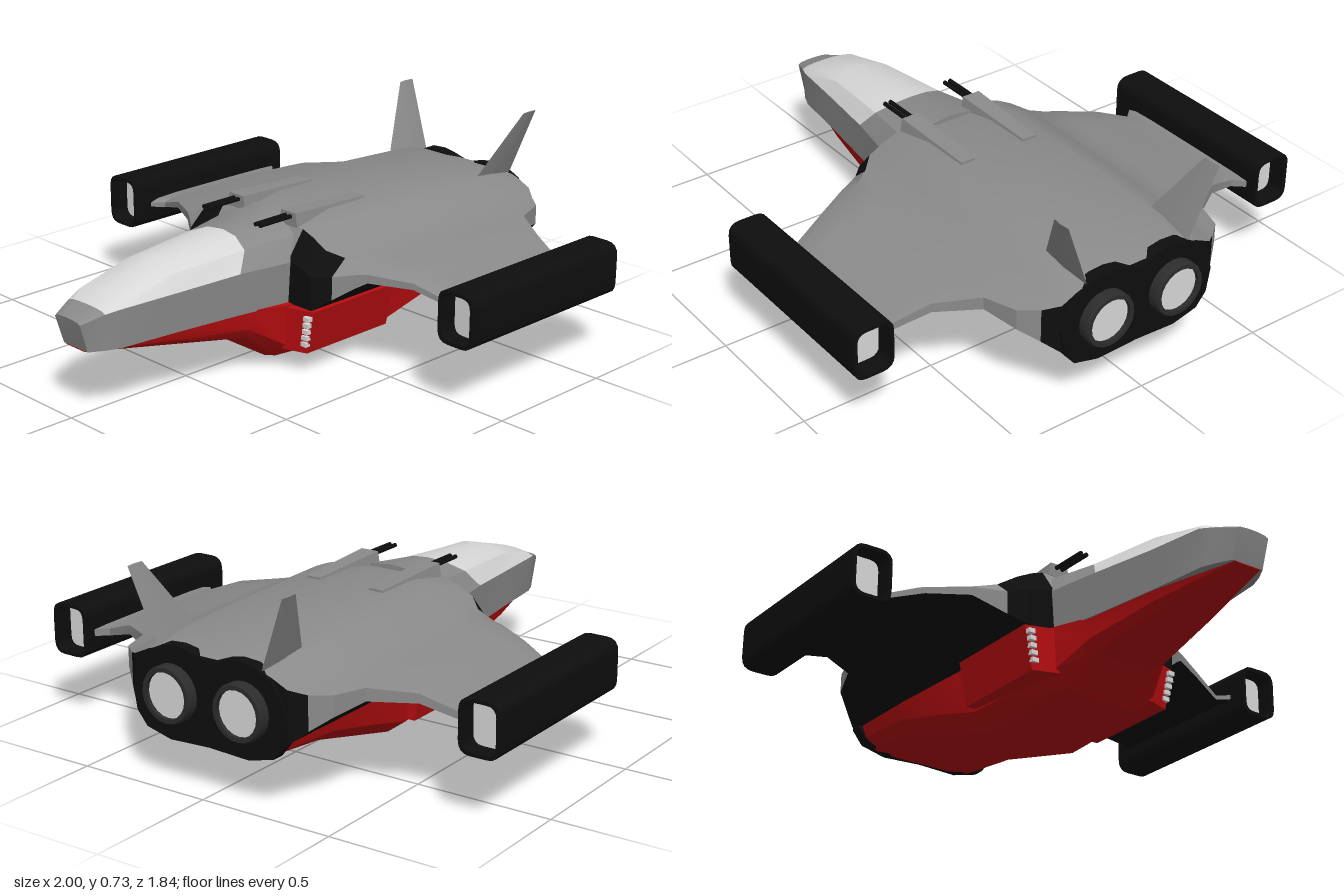
import * as THREE from 'three';
import { toCreasedNormals } from 'three/addons/utils/BufferGeometryUtils.js';

const mat = (name, color) => {
  const m = new THREE.MeshStandardMaterial({ color });
  m.name = name;
  return m;
};
const lerp = THREE.MathUtils.lerp;

export function createModel() {
  const grey = mat('hull grey', 0x8a8a8a);
  const red = mat('belly red', 0xb60d10);
  const black = mat('matte black', 0x0e0e0e);
  const pale = mat('pale grey', 0xd8d8d8);
  const dark = mat('engine grey', 0x2c2c2c);
  const ship = new THREE.Group();
  ship.name = 'spacecraft';

  const add = (name, geo, material, parent = ship) => {
    const mesh = new THREE.Mesh(geo, material);
    mesh.name = name;
    parent.add(mesh);
    return mesh;
  };

  // Skin closed rings of [x,y,z]; pick(station, edge) chooses the material, edge -1 is an end cap
  const loft = (name, rings, pick, crease = 0.5) => {
    const tris = [];
    const n = rings[0].length;
    const tri = (m, ...p) => tris.push({ m, p: p.map(q => new THREE.Vector3(...q)) });
    for (let i = 0; i < rings.length - 1; i++) {
      for (let j = 0; j < n; j++) {
        const k = (j + 1) % n, m = pick(i, j);
        tri(m, rings[i][j], rings[i][k], rings[i + 1][k]);
        tri(m, rings[i][j], rings[i + 1][k], rings[i + 1][j]);
      }
    }
    [0, rings.length - 1].forEach((i, end) => {
      const r = rings[i];
      const c = [0, 1, 2].map(a => r.reduce((s, p) => s + p[a], 0) / n);
      for (let j = 0; j < n; j++) {
        const a = r[j], b = r[(j + 1) % n];
        if (end) tri(pick(i - 1, -1), c, a, b); else tri(pick(i, -1), c, b, a);
      }
    });
    // Turn all faces outward if the enclosed volume is negative
    const volume = tris.reduce((s, { p }) => s + p[0].dot(p[1].clone().cross(p[2])), 0);
    const byMaterial = new Map();
    for (const { m, p } of tris) {
      if (volume < 0) p.reverse();
      if (!byMaterial.has(m)) byMaterial.set(m, []);
      byMaterial.get(m).push(...p);
    }
    const group = new THREE.Group();
    group.name = name;
    for (const [m, pts] of byMaterial) {
      const g = new THREE.BufferGeometry().setFromPoints(pts);
      add(`${name} ${m.name}`, toCreasedNormals(g, crease), m, group);
    }
    ship.add(group);
  };
  const mirrorRing = half => [...half, ...half.filter(p => p[2] > 0).reverse().map(([x, y, z]) => [x, y, -z])];

  // Wing body: stations z, front x, rear x, top y, bottom y
  const span = [
    [0, -0.2, 0.95, 0.53, 0.25], [0.2, -0.2, 0.95, 0.53, 0.25], [0.25, -0.2, 0.95, 0.51, 0.25],
    [0.31, -0.2, 0.95, 0.475, 0.25], [0.36, -0.15, 0.91, 0.442, 0.29], [0.42, -0.105, 0.86, 0.427, 0.335],
    [0.46, -0.08, 0.74, 0.417, 0.36], [0.6, -0.005, 0.65, 0.397, 0.355], [0.73, 0.04, 0.61, 0.347, 0.315],
    [0.775, 0, 0.65, 0.345, 0.315],
  ];
  const both = [...span.slice(1).reverse().map(([z, ...r]) => [-z, ...r]), ...span];
  const camber = [[0, 0.55], [0.06, 0.9], [0.2, 1], [0.6, 0.97], [0.9, 0.9], [1, 0.8]];
  const wingRings = both.map(([z, xf, xr, top, bot]) => [
    [xf, bot, z], ...camber.map(([t, h]) => [lerp(xf, xr, t), lerp(bot, top, h), z]), [xr, bot, z],
  ]);
  loft('wing body', wingRings, (i, j) => {
    const z = i < 0 || j < 0 ? 1 : Math.abs(both[i][0] + both[i + 1][0]) / 2;
    if (j === 7) return black;
    return z < 0.35 && (j === 0 || j === 6 || (j === 1 && z > 0.2)) ? black : grey;
  });

  // Nose: x, half width, shoulder y, top y, shear of the upper part
  const nose = [
    [-1, 0.065, 0.35, 0.36, 0], [-0.92, 0.095, 0.375, 0.387, 0], [-0.87, 0.115, 0.385, 0.415, 0],
    [-0.65, 0.14, 0.39, 0.48, 0], [-0.4, 0.175, 0.4, 0.498, 0.08], [-0.2, 0.21, 0.4, 0.52, 0.05],
    [-0.08, 0.23, 0.4, 0.53, 0],
  ];
  loft('nose', nose.map(([x, w, ys, top, shear], i) => mirrorRing([
    [i ? x : x + 0.03, 0.248, w * 0.95],
    ...[[1, 0], [0.8, 0.65], [0.4, 0.93], [0, 1]].map(([a, h]) => [x + shear * h, lerp(ys, top, h), w * a]),
  ])), (i, j) => (j >= 1 && j <= 6 && i >= 1 && i <= 3 ? pale : grey));

  // Belly: x, top half width, chine half width, chine y, keel half width, keel y
  const belly = [
    [-0.97, 0.055, 0.053, 0.248, 0.04, 0.245], [-0.65, 0.13, 0.12, 0.215, 0.08, 0.19],
    [-0.35, 0.17, 0.16, 0.18, 0.1, 0.13], [-0.22, 0.22, 0.21, 0.1, 0.1, 0.03],
    [0.2, 0.27, 0.25, 0.075, 0.1, 0.005], [0.4, 0.28, 0.26, 0.13, 0.12, 0.06],
    [0.65, 0.29, 0.27, 0.19, 0.14, 0.13], [0.94, 0.29, 0.27, 0.21, 0.15, 0.167],
  ];
  loft('belly', belly.map(([x, wt, wm, ym, wk, yk]) => mirrorRing([
    [x, x > 0.3 ? 0.262 : 0.252, wt], [x, ym, wm],
    [x, lerp(ym, yk, 0.78), lerp(wm, wk, 0.5)], [x, yk, wk],
  ])), () => red);

  // Side boxes below the intakes, with chamfered fronts
  loft('side boxes', [[-0.225, 0.22, 0.2], [-0.195, 0.32, 0.287], [0.2, 0.32, 0.287]].map(
    ([x, zt, zb]) => mirrorRing([[x, 0.245, zt], [x, 0.085, zb]])), () => red, 0.2);

  // Twin engine bulkhead
  const plate = new THREE.Shape();
  const outline = [[0, 0.465], [0.07, 0.483], [0.12, 0.492], [0.18, 0.488], [0.25, 0.455], [0.29, 0.4],
    [0.315, 0.33], [0.3, 0.24], [0.26, 0.19], [0.16, 0.165], [0, 0.172]];
  plate.setFromPoints([...outline, ...outline.slice(1, -1).reverse().map(([z, y]) => [-z, y])]
    .map(p => new THREE.Vector2(...p)));
  const plateGeo = new THREE.ExtrudeGeometry(plate, { depth: 0.045, bevelEnabled: false });
  add('engine bulkhead', plateGeo.rotateY(Math.PI / 2).translate(0.915, 0, 0), black);

  // Octagon-like rounded rectangle for the pods
  const rounded = (Type, w, h, r) => {
    const s = new Type();
    s.moveTo(-w + r, -h);
    s.lineTo(w - r, -h).quadraticCurveTo(w, -h, w, -h + r);
    s.lineTo(w, h - r).quadraticCurveTo(w, h, w - r, h);
    s.lineTo(-w + r, h).quadraticCurveTo(-w, h, -w, h - r);
    s.lineTo(-w, -h + r).quadraticCurveTo(-w, -h, -w + r, -h);
    return s;
  };

  for (const s of [-1, 1]) {
    const side = s > 0 ? 'left' : 'right';

    // Wing tip pod: hollow tube with a recessed pale block
    const tube = rounded(THREE.Shape, 0.075, 0.095, 0.045);
    tube.holes.push(rounded(THREE.Path, 0.062, 0.083, 0.036));
    const tubeGeo = new THREE.ExtrudeGeometry(tube, { depth: 0.76, bevelEnabled: false, curveSegments: 4 });
    add(`${side} pod`, tubeGeo.rotateY(Math.PI / 2).translate(-0.07, 0.335, s * 0.845), black);
    const core = new THREE.ExtrudeGeometry(rounded(THREE.Shape, 0.062, 0.083, 0.036),
      { depth: 0.62, bevelEnabled: false, curveSegments: 4 });
    add(`${side} pod core`, core.rotateY(Math.PI / 2).translate(0, 0.335, s * 0.845), pale);

    // Engine nozzle and glowing disc
    const ring = [[0.1, -0.03], [0.1, 0.03], [0.095, 0.04], [0.08, 0.04], [0.08, 0]].map(p => new THREE.Vector2(...p));
    const nozzle = toCreasedNormals(new THREE.LatheGeometry(ring, 20), 0.5);
    add(`${side} nozzle`, nozzle.rotateZ(-Math.PI / 2).translate(0.96, 0.33, s * 0.145), dark);
    add(`${side} nozzle disc`, new THREE.CircleGeometry(0.082, 20).rotateY(Math.PI / 2)
      .translate(0.985, 0.33, s * 0.145), pale);

    // Canted tail fin
    loft(`${side} fin`, [[0.73, 0.95, 0.46, 0.207], [0.9, 0.97, 0.73, 0.31]].map(([x0, x1, y, z], i) => {
      const t = i ? 0.004 : 0.009;
      return [[x0, y, s * z], [lerp(x0, x1, 0.5), y, s * (z + t)], [x1, y, s * z], [lerp(x0, x1, 0.5), y, s * (z - t)]];
    }), () => grey);

    // Gun housing and twin barrels
    loft(`${side} gun housing`, [[-0.135, 0.044, 0.55], [0.21, 0.034, 0.535]].map(([x, w, top]) => [
      [x, 0.5, s * 0.132 - w], [x, top, s * 0.132 - w * 0.8], [x, top, s * 0.132 + w * 0.8], [x, 0.5, s * 0.132 + w],
    ]), () => grey);
    for (const z of [0.12, 0.143]) {
      add(`${side} gun barrel`, new THREE.CylinderGeometry(0.008, 0.008, 0.17, 8).rotateZ(Math.PI / 2)
        .translate(-0.195, 0.535, s * z), black);
    }

    // Vent studs down the front corner of the side box
    for (let i = 0; i < 5; i++) {
      const y = 0.22 - i * 0.025;
      add(`${side} vent`, new THREE.BoxGeometry(0.02, 0.016, 0.025)
        .translate(-0.207 + i * 0.002, y, s * (0.302 - i * 0.005)), pale);
    }
  }
  return ship;
}
